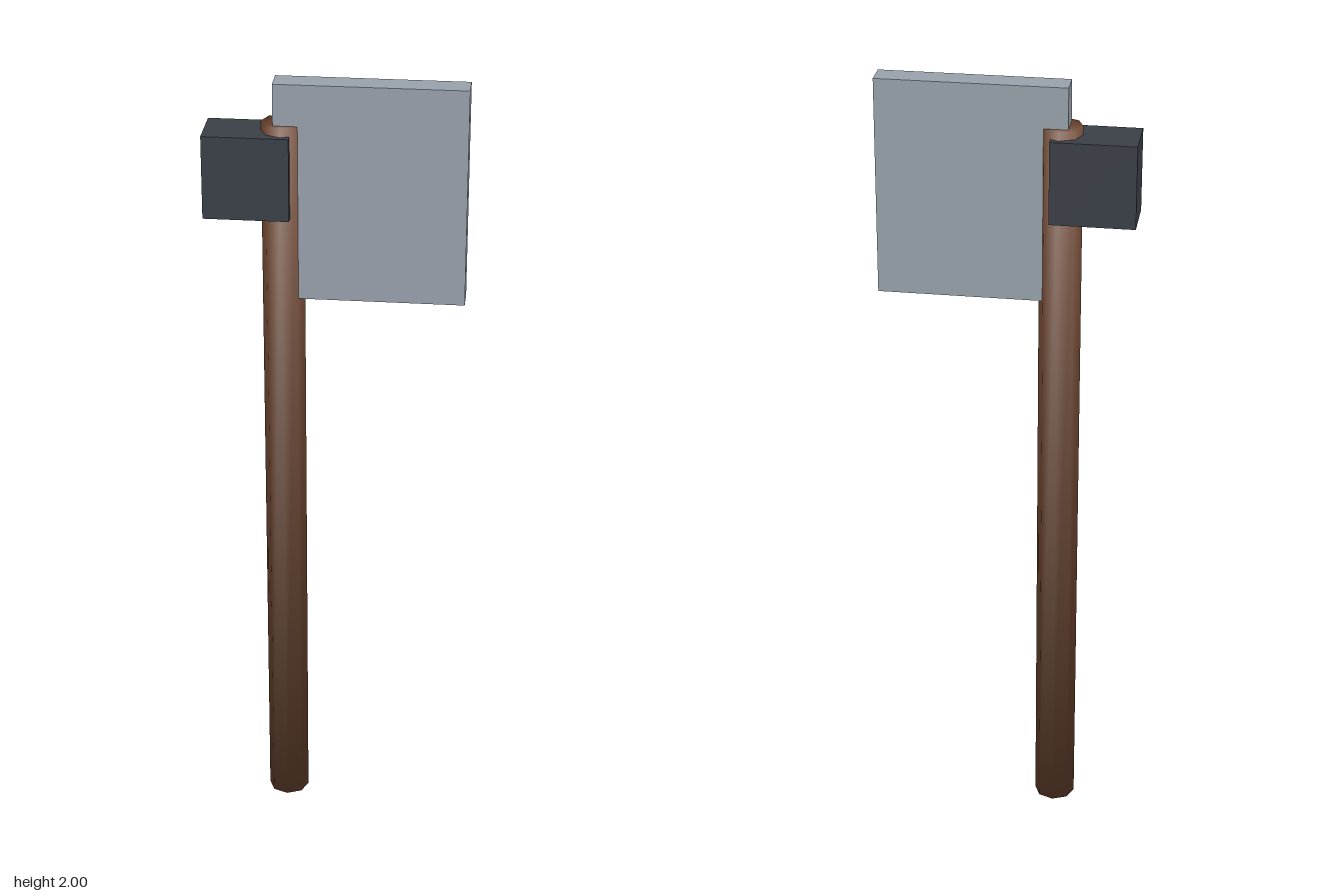
import * as THREE from 'three';

const wood = new THREE.MeshStandardMaterial({ color: 0x6e4630 });
wood.name = 'brown wood';
const steel = new THREE.MeshStandardMaterial({ color: 0x9aa3ad });
steel.name = 'light steel';
const iron = new THREE.MeshStandardMaterial({ color: 0x3b4048 });
iron.name = 'dark iron';

// Box given by its limits in x and y and its depth, centred on z = 0
function block(name, material, x0, x1, y0, y1, depth) {
  const mesh = new THREE.Mesh(new THREE.BoxGeometry(x1 - x0, y1 - y0, depth), material);
  mesh.position.set((x0 + x1) / 2, (y0 + y1) / 2, 0);
  mesh.name = name;
  return mesh;
}

// Eight-sided shaft, shaded smoothly from the sides over onto both ends
function makeHandle() {
  const radius = 0.052, height = 1.897;
  const geometry = new THREE.CylinderGeometry(radius, radius, height, 8);
  const { position, normal } = geometry.attributes;
  const n = new THREE.Vector3();
  for (let i = 0; i < position.count; i++) {
    n.set(position.getX(i) / radius * 0.78, Math.sign(position.getY(i)) * 0.63, position.getZ(i) / radius * 0.78);
    n.normalize();
    normal.setXYZ(i, n.x, n.y, n.z);
  }
  const mesh = new THREE.Mesh(geometry, wood);
  mesh.position.set(-0.128, height / 2, 0);
  mesh.name = 'handle';
  return mesh;
}

export function createModel() {
  const axe = new THREE.Group();
  axe.name = 'axe';
  axe.add(
    makeHandle(),
    block('blade', steel, -0.148, 0.315, 1.455, 2, 0.063),
    block('hammerHead', iron, -0.315, -0.107, 1.668, 1.876, 0.126),
  );
  return axe;
}
